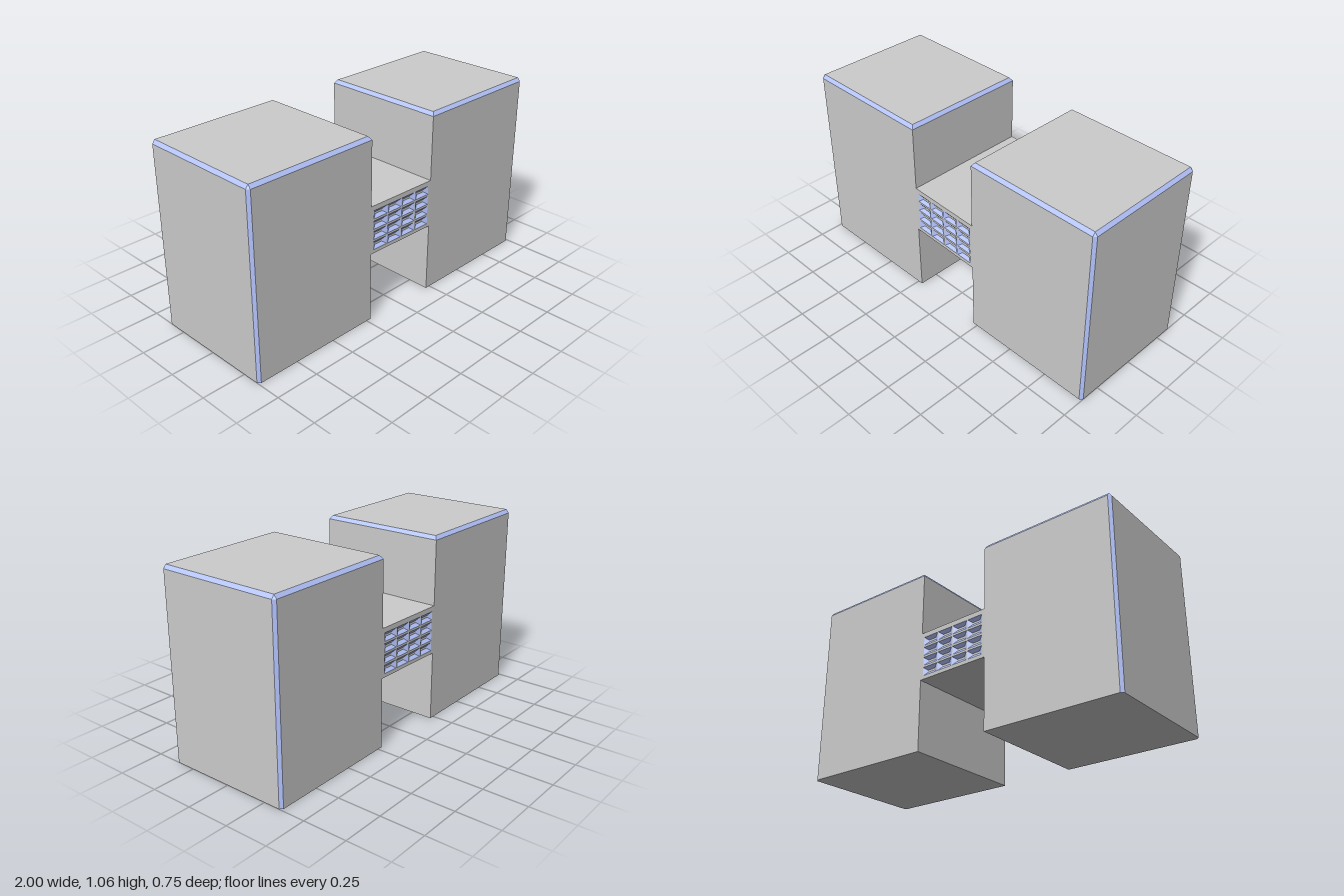
import * as THREE from 'three';

const grey = new THREE.MeshStandardMaterial({ color: 0xcccccc, flatShading: true });
const trim = new THREE.MeshStandardMaterial({ color: 0xb5c5ff, flatShading: true });

// Flat-faced geometry from convex polygons, each a list of [x, y, z] corners
function polygons(faces) {
  const pos = [];
  for (const f of faces)
    for (let i = 1; i < f.length - 1; i++) pos.push(...f[0], ...f[i], ...f[i + 1]);
  const g = new THREE.BufferGeometry();
  g.setAttribute('position', new THREE.Float32BufferAttribute(pos, 3));
  g.computeVertexNormals();
  return g;
}

// Quads joining two closed loops of corners
const band = (a, b) => a.map((p, i) => {
  const j = (i + 1) % a.length;
  return [p, a[j], b[j], b[i]];
});

function part(name, geometry, material) {
  const m = new THREE.Mesh(geometry, material);
  m.name = name;
  return m;
}

// Tower with bevelled roof edges and bevelled outer corners
function tower(name) {
  const x0 = 0.222, x1 = 1, d = 0.3667, h = 1.063, c = 0.015, hb = h - 0.02;
  const plan = [[x0, d], [x1 - c, d], [x1, d - c], [x1, c - d], [x1 - c, -d], [x0, -d]];
  const loop = (pts, y) => pts.map(([x, z]) => [x, y, z]);
  const base = loop(plan, 0), eaves = loop(plan, hb);
  const inset = plan.map(([x, z]) => [
    Math.min(Math.max(x, x0 + c), x1 - c), Math.sign(z) * (d - c)]);
  const roof = loop(inset, h);
  const sides = band(base, eaves);
  const isCorner = i => i === 1 || i === 3;
  const g = new THREE.Group();
  g.name = name;
  g.add(
    part('walls', polygons([...sides.filter((_, i) => !isCorner(i)), [...base].reverse()]), grey),
    part('roof', polygons([[roof[0], roof[1], roof[3], roof[5]]]), grey),
    part('cornerBevels', polygons(sides.filter((_, i) => isCorner(i))), trim),
    part('roofBevels', polygons(band(eaves, roof)), trim));
  return g;
}

// Bridge facade with a grid of recessed, bevelled windows
function facade(name, skew) {
  const hw = 0.222, y0 = 0.4, y1 = 0.677, z = 0.3667, depth = 0.014;
  const rect = (cx, cy, w, h, zz) => [[-1, -1], [1, -1], [1, 1], [-1, 1]]
    .map(([sx, sy]) => [cx + sx * w / 2, cy + sy * h / 2, zz]);
  const toVec = pts => pts.map(([x, y]) => new THREE.Vector2(x, y));
  const wall = new THREE.Shape(toVec(rect(0, (y0 + y1) / 2, 2 * hw, y1 - y0, 0)));
  const reveals = [], panes = [];
  for (let row = 0; row < 4; row++)
    for (let col = 0; col < 4; col++) {
      const cx = (col - 1.5) * 0.104, cy = 0.445 + row * 0.06;
      const outer = rect(cx, cy, 0.098, 0.048, z);
      const inner = rect(cx, cy, 0.05, 0.012, z - depth);
      wall.holes.push(new THREE.Path(toVec(outer).reverse()));
      reveals.push(...band(outer, inner));
      panes.push(inner);
    }
  const g = new THREE.Group();
  g.name = name;
  g.add(
    part('facadeWall', new THREE.ShapeGeometry(wall).translate(0, 0, z), grey),
    part('windowReveals', polygons(reveals), trim),
    part('windowPanes', polygons(panes), grey),
    // half of the deck and half of the underside
    part('deck', polygons([[[-hw, y1, z], [hw, y1, z], [hw, y1, 0], [-hw, y1, 0]]]), grey),
    part('underside', polygons([[[-hw, y0, 0], [hw, y0, 0], [hw, y0, z], [-hw, y0, z]]]), grey));
  g.children.forEach(m => m.geometry.applyMatrix4(skew));
  return g;
}

export function createModel() {
  const model = new THREE.Group();
  model.name = 'twinTowers';
  const shift = 0.0065;

  // The towers are offset slightly in depth, the second being the first turned half round
  const left = tower('leftTower');
  left.position.z = shift;
  const right = tower('rightTower');
  right.rotation.y = Math.PI;
  right.position.z = -shift;

  // The bridge slants to stay flush with both towers
  const skew = new THREE.Matrix4().makeShear(0, shift / 0.222, 0, 0, 0, 0);
  const bridge = new THREE.Group();
  bridge.name = 'bridge';
  const back = facade('bridgeBack', skew);
  back.rotation.y = Math.PI;
  bridge.add(facade('bridgeFront', skew), back);

  model.add(left, right, bridge);
  return model;
}
